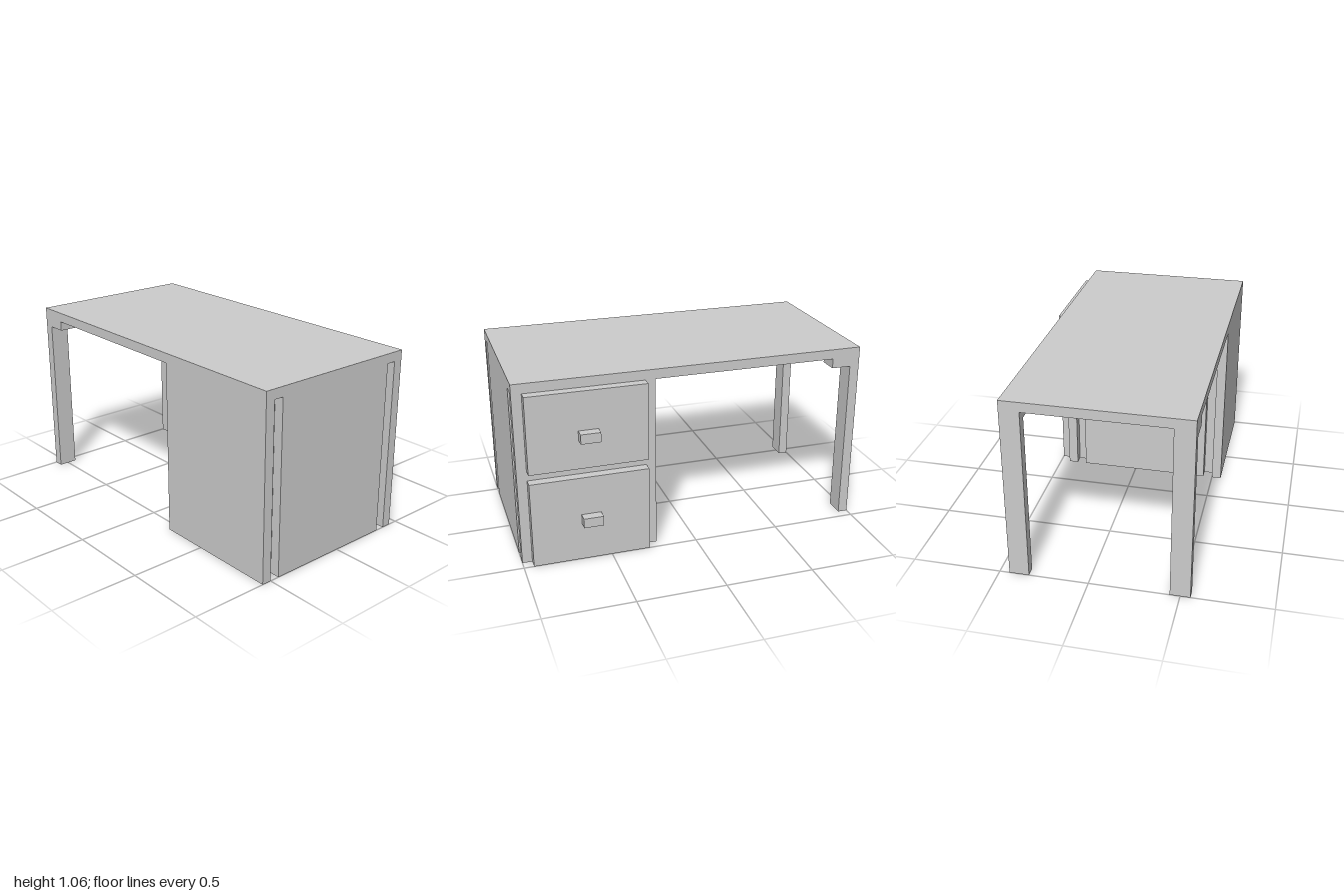
import * as THREE from 'three';

const U = 1 / 18; // the desk is laid out on a grid of 1/18 unit
const material = new THREE.MeshStandardMaterial({ color: 0xcccccc, flatShading: true });

function addMesh(parent, name, geometry) {
  geometry.scale(U, U, U);
  const mesh = new THREE.Mesh(geometry, material);
  mesh.name = name;
  parent.add(mesh);
}

// Box given by its lower and upper corner, in grid steps
function addBox(parent, name, [x0, y0, z0], [x1, y1, z1]) {
  const geometry = new THREE.BoxGeometry(x1 - x0, y1 - y0, z1 - z0);
  geometry.translate((x0 + x1) / 2, (y0 + y1) / 2, (z0 + z1) / 2);
  addMesh(parent, name, geometry);
}

function extrude(points, depth) {
  const shape = new THREE.Shape(points.map(([x, y]) => new THREE.Vector2(x, y)));
  return new THREE.ExtrudeGeometry(shape, { depth, bevelEnabled: false });
}

export function createModel() {
  const desk = new THREE.Group();
  desk.name = 'desk';

  addBox(desk, 'tabletop', [-18, 18, -8], [18, 19, 10]);

  // Cabinet: plan outline with two vertical grooves in each side
  const halfWidths = [[7, -8], [7, -7], [6, -7], [6, -6], [7, -6], [7, 8], [6, 8], [6, 9], [7, 9], [7, 10]];
  const mirrored = halfWidths.map(([x, z]) => [-x, z]).reverse();
  const cabinet = extrude([...halfWidths, ...mirrored], 18);
  cabinet.rotateX(Math.PI / 2).translate(11, 18, 0);
  addMesh(desk, 'cabinet', cabinet);

  // Drawers with block handles
  for (const [name, bottom, top, handleY] of [['lowerDrawer', 0, 9, 4], ['upperDrawer', 10, 18, 13]]) {
    const drawer = new THREE.Group();
    drawer.name = name;
    addBox(drawer, 'drawerFront', [5, bottom, -9], [17, top, -8]);
    addBox(drawer, 'drawerHandle', [10, handleY, -10], [12, handleY + 1, -9]);
    desk.add(drawer);
  }

  // Legs on the open side, each with a bracket under the top
  for (const [name, z] of [['frontLeg', 8], ['backLeg', -8]]) {
    const leg = extrude([[-18, 0], [-17, 0], [-17, 17], [-15, 17], [-15, 18], [-18, 18]], 2);
    addMesh(desk, name, leg.translate(0, 0, z));
  }

  return desk;
}
